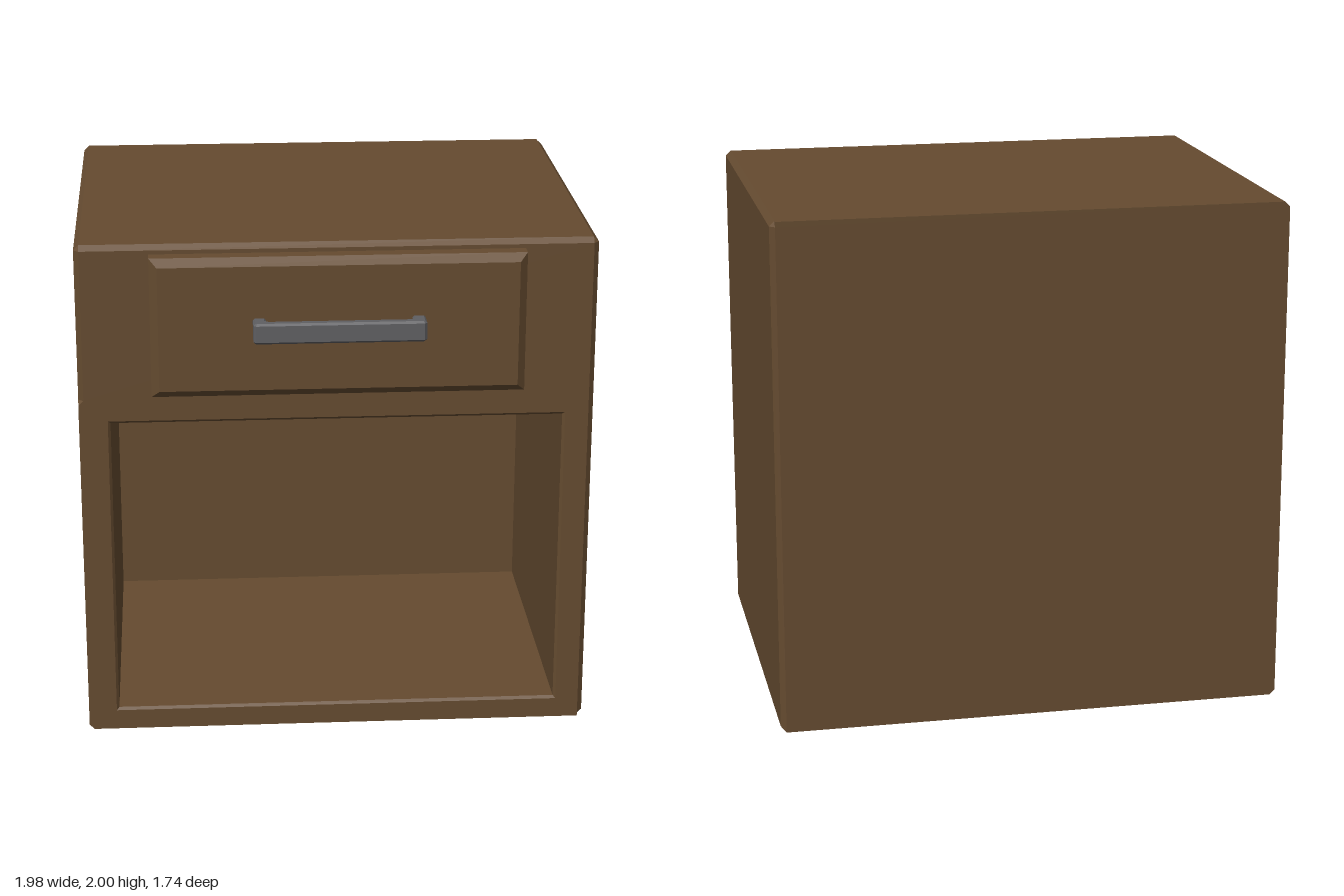
import * as THREE from 'three';

const wood = new THREE.MeshStandardMaterial({ color: 0x654b30, flatShading: true });
const metal = new THREE.MeshStandardMaterial({ color: 0x5f5f62, flatShading: true });

// Faceted skin through rings [z, [[x, y], ...]], counter-clockwise seen from +z and ordered back to front
function loft(rings, inward = false) {
  const pos = [];
  const tri = (a, b, c) => {
    if (new THREE.Triangle(a, b, c).getArea() < 1e-8) return;
    for (const p of inward ? [a, c, b] : [a, b, c]) pos.push(p.x, p.y, p.z);
  };
  for (let r = 0; r + 1 < rings.length; r++) {
    const [z0, back] = rings[r];
    const [z1, front] = rings[r + 1];
    for (let i = 0; i < back.length; i++) {
      const j = (i + 1) % back.length;
      const a = new THREE.Vector3(...back[i], z0), b = new THREE.Vector3(...back[j], z0);
      const c = new THREE.Vector3(...front[j], z1), d = new THREE.Vector3(...front[i], z1);
      tri(a, b, c);
      tri(a, c, d);
    }
  }
  const g = new THREE.BufferGeometry();
  g.setAttribute('position', new THREE.Float32BufferAttribute(pos, 3));
  g.computeVertexNormals();
  return g;
}

const toShape = (pts) => new THREE.Shape(pts.map((p) => new THREE.Vector2(...p)));
const rect = (x, y0, y1) => [[-x, y0], [x, y0], [x, y1], [-x, y1]];

// Flat panel at depth z, optionally with a hole or facing backwards
function panel(pts, z, { hole, back } = {}) {
  const s = toShape(pts);
  if (hole) s.holes.push(toShape(hole));
  const g = new THREE.ShapeGeometry(s);
  if (back) g.rotateY(Math.PI);
  return g.translate(0, 0, z);
}

function add(parent, name, geometry, material = wood) {
  const m = new THREE.Mesh(geometry, material);
  m.name = name;
  parent.add(m);
}

export function createModel() {
  const model = new THREE.Group();
  model.name = 'nightstand';

  // Cabinet outline: chamfered long edges, selectively chamfered front and back edges
  const side = [[-0.97, 0], [0.97, 0], [0.99, 0.02], [0.99, 1.98], [0.97, 2],
    [-0.97, 2], [-0.99, 1.98], [-0.99, 1.39], [-0.99, 1.37], [-0.99, 0.02]];
  const backEdge = side.map(([x, y]) => [Math.min(x, 0.97), y]);
  const frontEdge = [[-0.97, 0], [0.97, 0], [0.97, 0.02], [0.97, 1.98], [0.97, 1.98],
    [-0.97, 1.98], [-0.97, 1.98], [-0.97, 1.39], [-0.99, 1.37], [-0.99, 0.02]];
  const frontOutline = frontEdge.filter((p, i) => i !== 4 && i !== 6);
  const backOutline = backEdge.filter((p, i) => i !== 7 && i !== 8).map(([x, y]) => [-x, y]).reverse();

  const cabinet = new THREE.Group();
  cabinet.name = 'cabinet';
  model.add(cabinet);
  const opening = rect(0.88, 0.08, 1.305);
  const inner = rect(0.87, 0.09, 1.295);
  add(cabinet, 'cabinetShell', loft([[-0.87, backEdge], [-0.85, side], [0.68, side], [0.7, frontEdge]]));
  add(cabinet, 'cabinetFront', panel(frontOutline, 0.7, { hole: opening }));
  add(cabinet, 'cabinetBack', panel(backOutline, -0.87, { back: true }));

  // Open compartment
  add(cabinet, 'compartmentWalls', loft([[-0.56, inner], [0.69, inner], [0.7, opening]], true));
  add(cabinet, 'compartmentBack', panel(inner, -0.56));

  // Drawer front with bevelled face
  const drawer = new THREE.Group();
  drawer.name = 'drawer';
  model.add(drawer);
  const edge = rect(0.71, 1.42, 1.965);
  const face = rect(0.68, 1.45, 1.935);
  add(drawer, 'drawerSides', loft([[0.7, edge], [0.755, edge], [0.785, face]]));
  add(drawer, 'drawerFace', panel(face, 0.785));

  // U-shaped handle, drawn in plan (x, z) and extruded over its height
  const half = [[0.315, 0.865], [0.325, 0.855], [0.325, 0.78], [0.275, 0.78], [0.275, 0.815], [0.265, 0.825]];
  const plan = [...half, ...half.map(([x, z]) => [-x, z]).reverse()];
  const bar = new THREE.ExtrudeGeometry(toShape(plan), {
    depth: 0.064, bevelEnabled: true, bevelSegments: 1,
    bevelThickness: 0.008, bevelSize: 0.008, bevelOffset: -0.008,
  });
  bar.rotateX(Math.PI / 2).translate(0, 1.727, 0);
  add(drawer, 'handle', bar, metal);

  return model;
}
